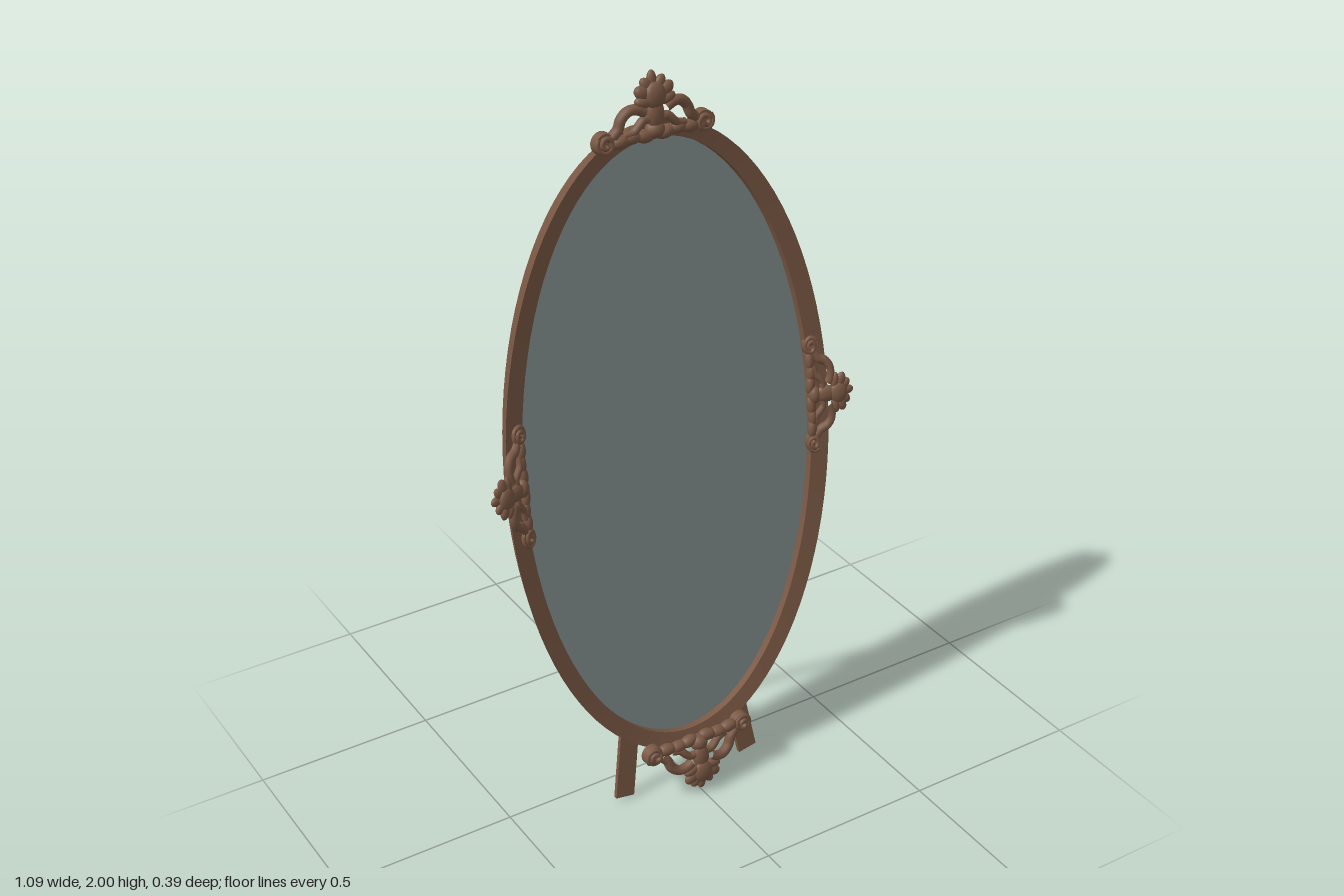
import * as THREE from 'three';
import { mergeGeometries } from 'three/addons/utils/BufferGeometryUtils.js';

const wood = new THREE.MeshStandardMaterial({ color: 0x7a5844 });
wood.name = 'brown wood';
const glass = new THREE.MeshStandardMaterial({ color: 0x808c8d });
glass.name = 'mirror grey';

const A = 0.482, B = 0.874; // half axes of the oval
const halfAxes = (inset) => [A - inset, B - inset * 0.87];

function mesh(name, geometry, material = wood) {
  const m = new THREE.Mesh(geometry, material);
  m.name = name;
  return m;
}

// Sweeps a profile of [inset, z] points round the oval; every strip keeps sharp edges
function ovalRing(profile, n = 96) {
  const strips = [];
  for (let k = 0; k < profile.length - 1; k++) {
    const pos = [], idx = [];
    for (let i = 0; i < n; i++) {
      const t = (i / n) * Math.PI * 2;
      for (const [d, z] of [profile[k], profile[k + 1]]) {
        const [a, b] = halfAxes(d);
        pos.push(a * Math.cos(t), b * Math.sin(t), z);
      }
      const p = i * 2, q = ((i + 1) % n) * 2;
      idx.push(p, q, q + 1, p, q + 1, p + 1);
    }
    const g = new THREE.BufferGeometry();
    g.setAttribute('position', new THREE.Float32BufferAttribute(pos, 3));
    g.setIndex(idx);
    g.computeVertexNormals();
    strips.push(g);
  }
  return mergeGeometries(strips);
}

function ovalDisc(inset, z, back) {
  const g = new THREE.CircleGeometry(1, 96);
  if (back) g.rotateY(Math.PI);
  return g.scale(...halfAxes(inset), 1).translate(0, 0, z);
}

// Flattened bead or leaf lobe
function lobe(x, y, z, rx, ry, rz, turn = 0) {
  return new THREE.SphereGeometry(1, 14, 10).scale(rx, ry, rz).rotateZ(turn).translate(x, y, z);
}

function tube(points, radius, segments) {
  const curve = new THREE.CatmullRomCurve3(points.map((p) => new THREE.Vector3(...p)));
  return new THREE.TubeGeometry(curve, segments, radius, 8);
}

// Carved crest: rolled ends, leaf garland, open arches and a palmette on top
function crest(name) {
  const group = new THREE.Group();
  group.name = name;
  for (const s of [-1, 1]) {
    const spiral = [];
    for (let i = 0; i <= 14; i++) {
      const t = Math.PI * 0.75 + (i / 14) * Math.PI * 3.2, r = 0.024 - 0.0013 * i;
      spiral.push([s * (0.14 - r * Math.cos(t)), r * Math.sin(t) - 0.008, 0.041 + 0.0005 * i]);
    }
    group.add(mesh('volute', tube(spiral, 0.007, 48)));
    group.add(mesh('voluteCore',
      new THREE.CylinderGeometry(0.027, 0.029, 0.024, 18).rotateX(Math.PI / 2).translate(s * 0.14, -0.008, 0.032)));
    group.add(mesh('arch', tube([
      [s * 0.118, 0.004, 0.036], [s * 0.102, 0.02, 0.039], [s * 0.092, 0.044, 0.041],
      [s * 0.072, 0.06, 0.044], [s * 0.05, 0.06, 0.046], [s * 0.03, 0.05, 0.046],
    ], 0.014, 24)));
    group.add(mesh('innerCurl', tube([
      [s * 0.085, 0.0, 0.038], [s * 0.06, 0.006, 0.042], [s * 0.046, 0.02, 0.044],
      [s * 0.034, 0.03, 0.044], [s * 0.018, 0.03, 0.044],
    ], 0.011, 18)));
    // Garland leaves along the base
    for (let i = 0; i < 3; i++) {
      group.add(mesh('garlandLeaf', lobe(s * (0.03 + i * 0.034), -0.012 + (i % 2) * 0.004, 0.036, 0.028, 0.017, 0.017, s * (0.2 - i * 0.15))));
    }
    // Broad side leaves of the palmette
    group.add(mesh('lowerLeaf', lobe(s * 0.034, 0.074, 0.049, 0.024, 0.014, 0.012, s * 0.25)));
    group.add(mesh('middleLeaf', lobe(s * 0.033, 0.096, 0.047, 0.024, 0.017, 0.012, s * 0.6)));
    group.add(mesh('upperLeaf', lobe(s * 0.019, 0.112, 0.043, 0.022, 0.014, 0.011, s * 1.0)));
  }
  group.add(mesh('boss', lobe(0, 0.0, 0.039, 0.026, 0.023, 0.023)));
  group.add(mesh('stem', lobe(0, 0.042, 0.046, 0.024, 0.04, 0.016)));
  group.add(mesh('palmetteHeart', lobe(0, 0.086, 0.052, 0.03, 0.033, 0.015)));
  group.add(mesh('palmetteTip', lobe(0, 0.122, 0.039, 0.013, 0.024, 0.01)));
  return group;
}

// Flat board between two points, its broad side turned to the front
function board(name, from, to, width, depth) {
  const a = new THREE.Vector3(...from), b = new THREE.Vector3(...to);
  const m = mesh(name, new THREE.BoxGeometry(width, a.distanceTo(b), depth));
  const y = b.clone().sub(a).normalize();
  const ref = Math.abs(y.x) > 0.9 ? new THREE.Vector3(0, 1, 0) : new THREE.Vector3(1, 0, 0);
  const x = ref.addScaledVector(y, -ref.dot(y)).normalize();
  m.quaternion.setFromRotationMatrix(new THREE.Matrix4().makeBasis(x, y, x.clone().cross(y)));
  m.position.copy(a).add(b).multiplyScalar(0.5);
  return m;
}

export function createModel() {
  const model = new THREE.Group();
  model.name = 'standingMirror';

  // Leaning oval mirror
  const mirror = new THREE.Group();
  mirror.name = 'ovalMirror';
  mirror.position.set(0, 1.004, 0.01);
  mirror.rotation.x = -0.119;
  model.add(mirror);
  mirror.add(mesh('frame', ovalRing([
    [0.044, -0.026], [0.04, -0.033], [0.022, -0.033], [0, 0.026], [0.05, 0.018], [0.05, -0.004],
  ])));
  mirror.add(mesh('mirrorGlass', ovalDisc(0.05, -0.003, false), glass));
  mirror.add(mesh('backPanel', ovalDisc(0.042, -0.027, true)));

  // Carved crests on the four sides of the frame
  const top = crest('topCrest');
  top.position.set(0, 0.855, -0.003);
  const bottom = crest('bottomCrest');
  bottom.position.set(0, -0.862, 0.008);
  bottom.rotation.z = Math.PI;
  mirror.add(top, bottom);
  for (const s of [-1, 1]) {
    const side = crest(s > 0 ? 'leftCrest' : 'rightCrest');
    side.rotation.z = -s * Math.PI / 2;
    side.scale.set(1, 0.74, 0.8);
    const tilt = new THREE.Group();
    tilt.name = 'sideCrestMount';
    tilt.position.set(s * 0.449, 0.032, -0.006);
    tilt.rotation.y = -s * 0.3;
    tilt.add(side);
    mirror.add(tilt);
  }

  // Three legged stand
  const stand = new THREE.Group();
  stand.name = 'stand';
  model.add(stand);
  for (const s of [-1, 1]) {
    stand.add(board('frontLeg', [s * 0.2, 0.012, 0.098], [s * 0.015, 1.125, -0.043], 0.056, 0.012));
    stand.add(board('sideStretcher', [s * 0.165, 0.238, 0.066], [s * 0.012, 0.275, -0.153], 0.014, 0.026));
  }
  stand.add(board('backLeg', [0, 0.002, -0.19], [0, 1.148, -0.048], 0.06, 0.013));
  stand.add(board('crossbar', [-0.18, 0.238, 0.062], [0.18, 0.238, 0.062], 0.058, 0.012));
  return model;
}
